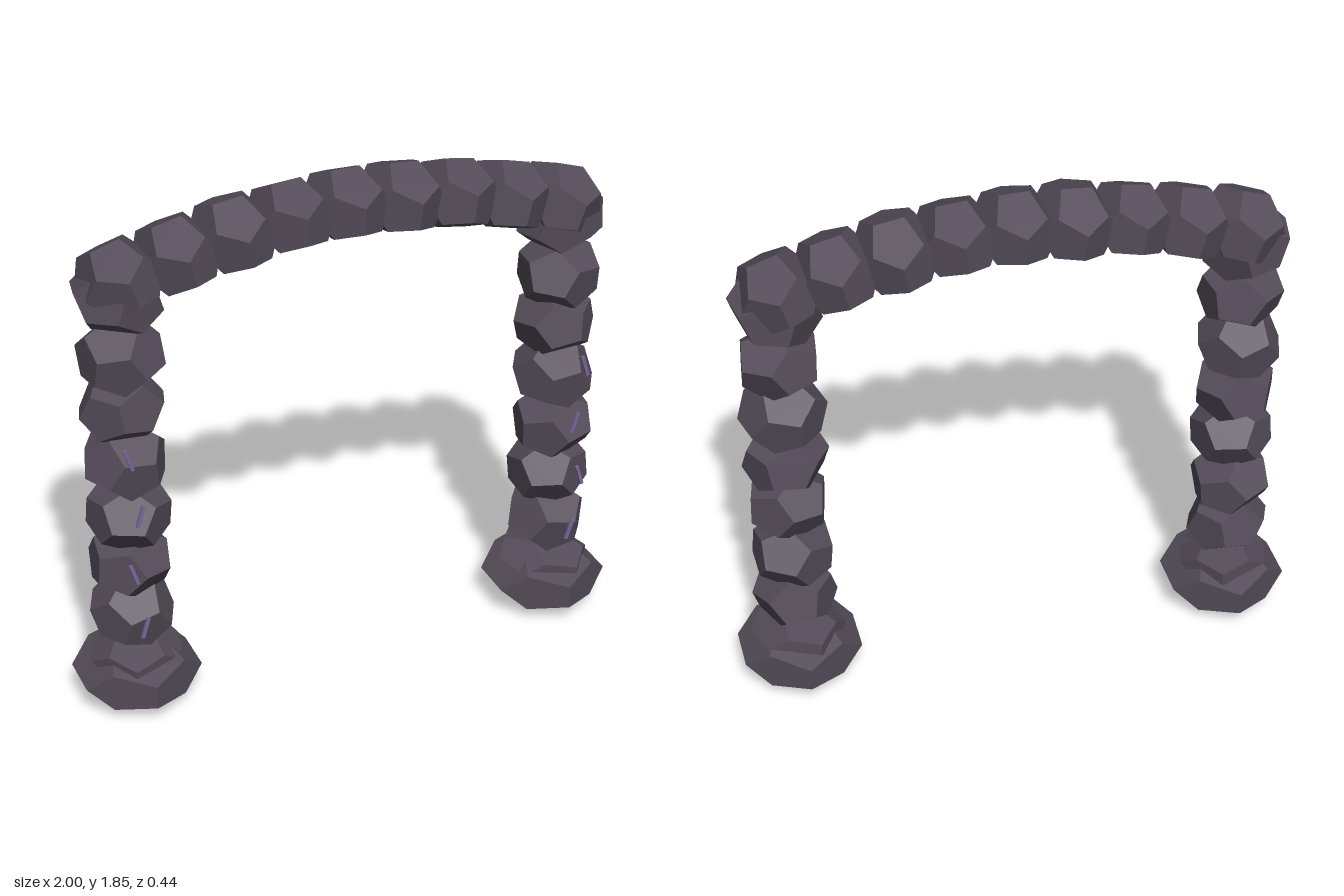
import * as THREE from 'three';

export function createModel() {
  const group = new THREE.Group();
  const stoneMat = new THREE.MeshStandardMaterial({ color: 0x544c59, flatShading: true });
  stoneMat.name = 'dark stone';
  const runeMat = new THREE.MeshStandardMaterial({ color: 0x75669c });
  runeMat.name = 'violet rune';

  const stoneGeo = new THREE.DodecahedronGeometry(1);
  const runeGeo = new THREE.BoxGeometry(0.012, 0.08, 0.009);

  const stone = (name, pos, scale, rot = [0, 0, 0]) => {
    const m = new THREE.Mesh(stoneGeo, stoneMat);
    m.name = name;
    m.position.set(...pos);
    m.scale.set(...scale);
    m.rotation.set(...rot);
    group.add(m);
  };

  // Pillar stones: height, depth offset, rotation
  const pillar = [
    [0.35, -0.005, [0.2, 0.4, 0.15]],
    [0.545, -0.01, [-0.2, 1.1, 0.2]],
    [0.745, 0.01, [0.25, 1.9, -0.15]],
    [0.94, 0, [0.1, 2.6, 0.2]],
    [1.14, -0.01, [-0.15, 0.3, -0.12]],
    [1.335, 0.005, [0.15, 0.9, 0.1]],
    [1.545, 0, [-0.1, 0.2, 0.3]],
  ];

  for (const side of [-1, 1]) {
    const label = side > 0 ? 'left' : 'right';

    // Wide foot and the smaller slab on top of it
    stone(label + 'Foot', [side * 0.79, 0.112, 0], [0.224, 0.12, 0.238]);
    stone(label + 'FootSlab', [side * 0.79, 0.18, 0], [0.165, 0.077, 0.19], [0.06, side * 0.3, 0]);

    pillar.forEach(([y, z, r], i) => {
      const w = i === 6 ? 0.16 : 0.152;
      stone(label + 'PillarStone' + (i + 1), [side * 0.795, y, z], [w, 0.135, w],
        [r[0], side * r[1], side * r[2]]);
    });

    // Slim glowing marks floating in front of the pillar
    for (let i = 0; i < 4; i++) {
      const rune = new THREE.Mesh(runeGeo, runeMat);
      rune.name = label + 'Rune' + (i + 1);
      rune.position.set(side * (i % 2 ? 0.833 : 0.803), 0.37 + i * 0.22, 0.165);
      rune.rotation.z = i % 2 ? 0.3 : -0.3;
      group.add(rune);
    }
  }

  // Gently curved row of lintel stones
  const archY = [1.73, 1.72, 1.695, 1.655, 1.61];
  for (let i = -4; i <= 4; i++) {
    const x = i * 0.197;
    stone('archStone' + (i + 5), [x, archY[Math.abs(i)], 0], [0.145, 0.129, 0.182],
      [0.06 * Math.sin(i * 2.1), 0, -0.4 * x]);
  }
  return group;
}
